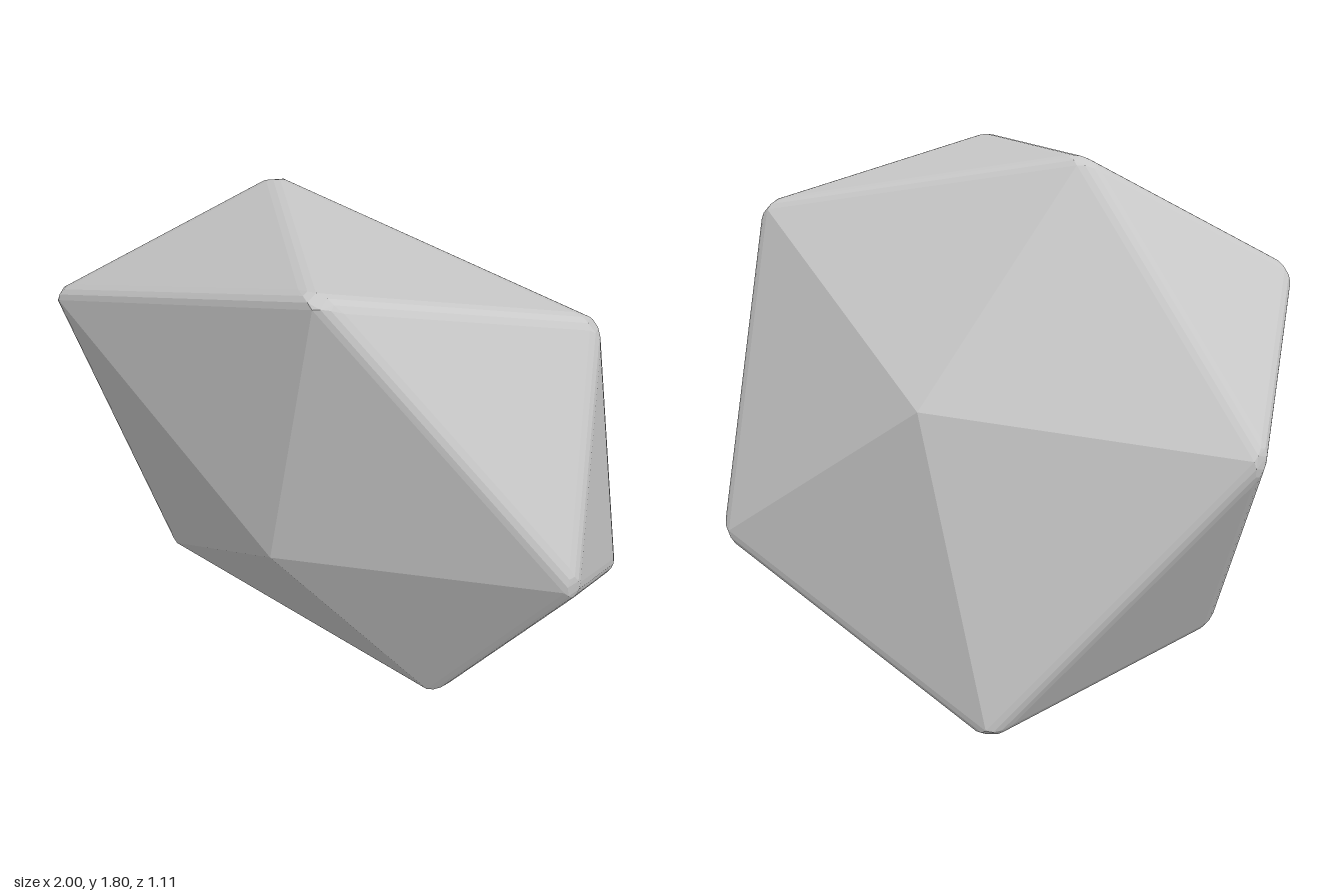
import * as THREE from 'three';
import { ConvexGeometry } from 'three/addons/geometries/ConvexGeometry.js';

const V = (x, y, z) => new THREE.Vector3(x, y, z);
const BEVEL = 0.035;

export function createModel() {
  const group = new THREE.Group();
  group.name = 'stone';
  const stoneGrey = new THREE.MeshStandardMaterial({ color: 0xc8c8c8 });
  stoneGrey.name = 'stone grey';

  // Squashed, tilted icosahedron: two sharp peaks and two rings of five corners
  const frontPeak = V(0.07, 0.77, 0.5), backPeak = V(0.01, 1.06, -0.535);
  // Ring corners sit slightly outside the rounded tips
  const spread = (p) => p.sub(V(0, 0.9, 0)).multiplyScalar(1.015).add(V(0, 0.9, 0));
  const front = [V(-0.87, 1.41, 0.46), V(0.31, 1.8, 0.55), V(1, 0.89, 0.19),
    V(0.4, 0.015, 0.02), V(-0.74, 0.23, 0.13)].map(spread);
  const back = [V(-0.32, 1.8, -0.04), V(0.81, 1.6, -0.15), V(0.82, 0.5, -0.46),
    V(-0.24, 0.01, -0.55), V(-1, 0.95, -0.23)].map(spread);

  const faces = [];
  for (let i = 0; i < 5; i++) {
    const j = (i + 1) % 5;
    faces.push([frontPeak, front[i], front[j]], [backPeak, back[i], back[j]],
      [front[i], front[j], back[i]], [back[i], back[j], front[j]]);
  }
  const isPeak = (p) => p === frontPeak || p === backPeak;
  const toward = (a, b) => b.clone().sub(a).normalize();

  // Corner of a face, pulled in from its bevelled edges
  function inset(face, v) {
    const [a, b] = face.filter((p) => p !== v);
    const peak = [a, b].find(isPeak);
    if (peak) return v.clone().addScaledVector(toward(v, peak), BEVEL * 1.15);
    const da = toward(v, a), db = toward(v, b);
    return v.clone().addScaledVector(da.clone().add(db), BEVEL / Math.sin(da.angleTo(db)));
  }

  // Rounded edges: a short arc at each end of every edge between ring corners
  const points = [frontPeak, backPeak];
  for (const v of [...front, ...back]) {
    const around = faces.filter((f) => f.includes(v));
    for (const f of around) points.push(inset(f, v));
    for (const w of [...front, ...back]) {
      const pair = around.filter((f) => f.includes(w));
      if (w === v || pair.length !== 2) continue;
      const edge = v.clone().addScaledVector(toward(v, w), BEVEL);
      const arc = new THREE.QuadraticBezierCurve3(inset(pair[0], v), edge, inset(pair[1], v));
      points.push(arc.getPoint(1 / 3), arc.getPoint(2 / 3));
    }
  }

  // Centred, standing on the ground
  const geometry = new ConvexGeometry(points);
  geometry.center();
  geometry.computeBoundingBox();
  geometry.translate(0, -geometry.boundingBox.min.y, 0);

  const mesh = new THREE.Mesh(geometry, stoneGrey);
  mesh.name = 'stoneBody';
  group.add(mesh);
  return group;
}
